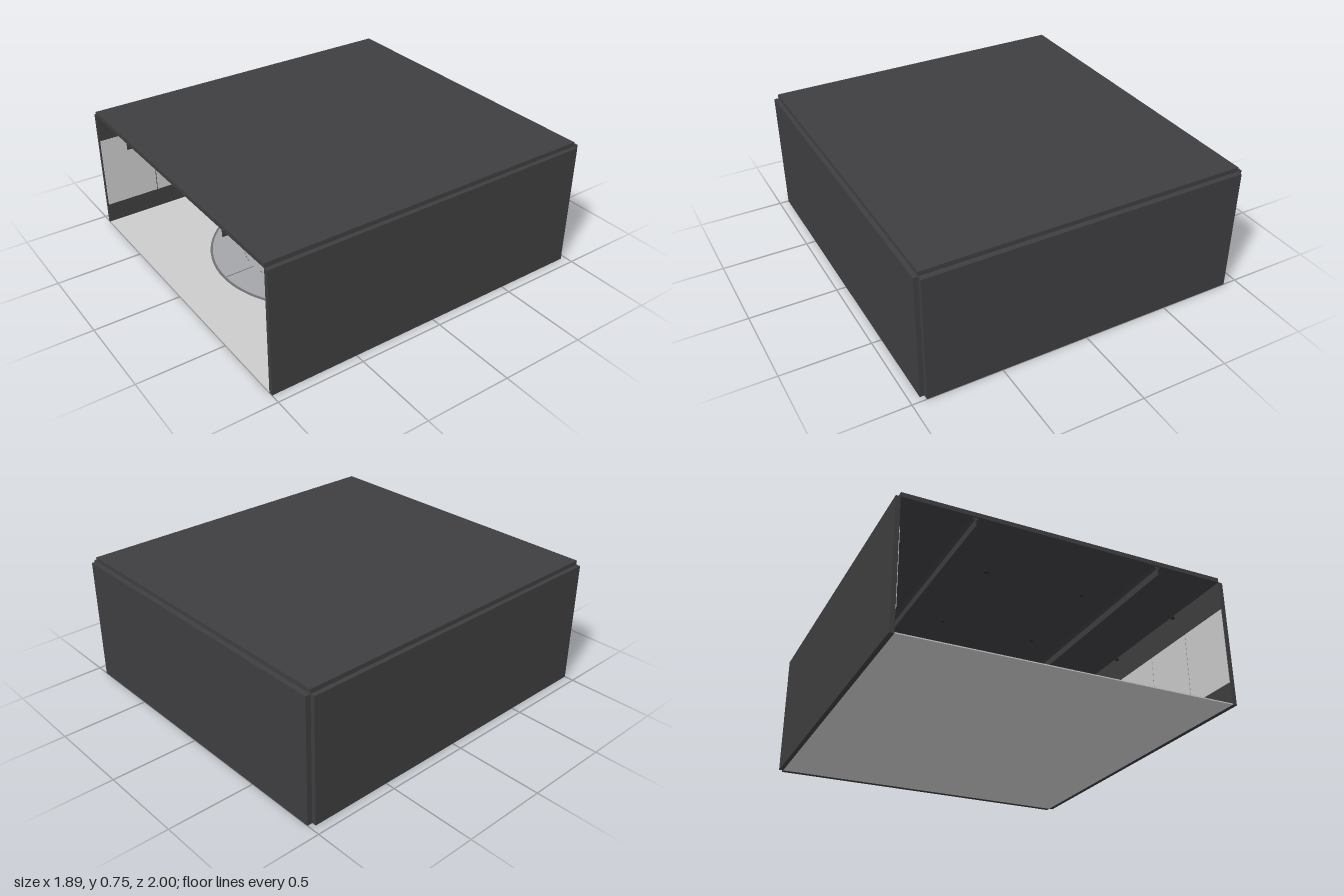
import * as THREE from 'three';

const mat = (color, side = THREE.FrontSide) => {
  const m = new THREE.MeshStandardMaterial({ color });
  m.side = side;
  return m;
};
const DARK = mat(0x3e3e40), BLACK = mat(0x262628), GREY = mat(0xcccccc), DISC = mat(0xa4a5a9);
const STEEL = mat(0x707072), RUBBER = mat(0x2c2c2d), YELLOW = mat(0xb8a030);

function add(parent, name, geo, material, x = 0, y = 0, z = 0) {
  const m = new THREE.Mesh(geo, material);
  m.name = name;
  m.position.set(x, y, z);
  parent.add(m);
  return m;
}
// Box given by its limits on each axis
function box(parent, name, material, x0, x1, y0, y1, z0, z1) {
  return add(parent, name, new THREE.BoxGeometry(x1 - x0, y1 - y0, z1 - z0), material,
    (x0 + x1) / 2, (y0 + y1) / 2, (z0 + z1) / 2);
}
const cyl = (parent, name, material, r0, r1, h, x, y, z, n = 20) =>
  add(parent, name, new THREE.CylinderGeometry(r0, r1, h, n), material, x, y, z);
function group(parent, name, x = 0, y = 0, z = 0) {
  const g = new THREE.Group();
  g.name = name;
  g.position.set(x, y, z);
  parent.add(g);
  return g;
}

// Tyre with its axle along y: rounded tread, side walls and hub
const tyreProfile = [[0.026, -0.022], [0.036, -0.027], [0.043, -0.023], [0.047, -0.013], [0.047, 0.013],
  [0.043, 0.023], [0.036, 0.027], [0.026, 0.022], [0.026, -0.022]].map(p => new THREE.Vector2(...p));
const tyreGeo = new THREE.LatheGeometry(tyreProfile, 28);
const stripeGeo = new THREE.TorusGeometry(0.036, 0.0012, 4, 28).rotateX(Math.PI / 2);
function tyre(parent, x, y, z, upright) {
  const g = group(parent, 'tyre', x, y, z);
  add(g, 'tread', tyreGeo, RUBBER);
  for (const s of [-1, 1]) add(g, 'sidewallStripe', stripeGeo, YELLOW, 0, s * 0.0265, 0);
  cyl(g, 'wheelHub', STEEL, 0.0265, 0.0265, 0.03, 0, 0, 0);
  if (upright) g.rotation.z = Math.PI / 2;
}

// Tyre rack: four posts, paired shelf rails and base bars
function rack(parent, x, upper, lower) {
  const g = group(parent, 'tyreRack', x, 0, -0.85), w = 0.122, d = 0.05, t = 0.003;
  for (const sx of [-w, w]) {
    for (const sz of [-d, d]) box(g, 'rackPost', STEEL, sx - t, sx + t, 0.006, 0.275, sz - t, sz + t);
    for (const y of [0.02, 0.125, 0.215]) box(g, 'rackSideBar', STEEL, sx - t, sx + t, y - t, y + t, -d, d);
  }
  for (const y of [0.045, 0.125, 0.215])
    for (const sz of [-d, d]) box(g, 'rackRail', STEEL, -w, w, y - t, y + t, sz - t, sz + t);
  for (const tx of upper) tyre(g, tx, 0.264, 0, true);
  for (const tx of lower) tyre(g, tx, 0.173, 0, true);
}

export function createModel() {
  const model = new THREE.Group();
  model.name = 'garage';

  // Shell, open at the front
  box(model, 'floor', GREY, -0.92, 0.92, 0, 0.006, -0.97, 1);
  box(model, 'roof', DARK, -0.92, 0.92, 0.727, 0.752, -0.97, 1);
  box(model, 'backWall', DARK, -0.92, 0.92, 0, 0.727, -1, -0.97);
  for (const s of [-1, 1])
    add(model, 'sideWall', new THREE.BoxGeometry(0.025, 0.727, 1.97), DARK, s * 0.9325, 0.3635, 0.015);

  // Light wall panels with narrow gaps, on the back and both sides
  const panels = group(model, 'wallPanels');
  const gap = 0.003, y0 = 0.127, y1 = 0.56;
  const seams = [-0.916, -0.768, -0.461, -0.154, 0.154, 0.461, 0.768, 0.916];
  for (let i = 0; i < seams.length - 1; i++)
    box(panels, 'backPanel', GREY, seams[i] + gap, seams[i + 1] - gap, y0, y1, -0.97, -0.965);
  const step = 1.97 / 6;
  for (const s of [-1, 1])
    for (let i = 0; i < 6; i++)
      add(panels, 'sidePanel', new THREE.BoxGeometry(0.005, y1 - y0, step - 2 * gap), GREY,
        s * 0.9185, (y0 + y1) / 2, -0.97 + (i + 0.5) * step);

  // Back wall trim and long rail
  box(model, 'backCornice', DARK, -0.918, 0.918, 0.668, 0.727, -0.97, -0.95);
  box(model, 'wallRail', BLACK, -0.86, 0.855, 0.476, 0.484, -0.958, -0.95);
  for (const x of [-0.7, 0, 0.7]) box(model, 'railBracket', BLACK, x - 0.003, x + 0.003, 0.477, 0.483, -0.966, -0.955);

  // Tapered ceiling beams running front to back, and ceiling lamps
  const beam = new THREE.Shape([[-0.02, 0.727], [-0.004, 0.715], [-0.003, 0.675], [0.003, 0.675],
    [0.004, 0.715], [0.02, 0.727]].map(p => new THREE.Vector2(...p)));
  const beamGeo = new THREE.ExtrudeGeometry(beam, { depth: 1.94, bevelEnabled: false });
  for (const s of [-1, 1]) add(model, 'ceilingBeam', beamGeo, DARK, s * 0.528, 0, -0.95);
  for (const z of [-0.6, 0, 0.6])
    for (const x of [-0.9, -0.29, 0.29, 0.9]) {
      cyl(model, 'lampStem', BLACK, 0.003, 0.003, 0.02, x, 0.717, z, 8);
      cyl(model, 'ceilingLamp', BLACK, 0.01, 0.012, 0.012, x, 0.702, z, 12);
    }

  // Round turntable set in the floor, with rim, radial marks and dashed ring
  const table = group(model, 'turntable', 0, 0.006, 0.12);
  cyl(table, 'turntableRim', STEEL, 0.605, 0.605, 0.004, 0, 0.002, 0, 72);
  cyl(table, 'turntableDisc', DISC, 0.592, 0.592, 0.003, 0, 0.0035, 0, 72);
  for (let i = 0; i < 4; i++) {
    const a = i * Math.PI / 2;
    const m = add(table, 'radialMark', new THREE.BoxGeometry(0.18, 0.001, 0.006), STEEL,
      0.5 * Math.cos(a), 0.0052, -0.5 * Math.sin(a));
    m.rotation.y = a;
  }
  for (let i = 0; i < 72; i++) {
    if (i % 18 < 2 || i % 18 > 16) continue;
    const a = i * Math.PI / 36;
    const m = add(table, 'ringDash', new THREE.BoxGeometry(0.006, 0.001, 0.018), STEEL,
      0.41 * Math.cos(a), 0.0052, -0.41 * Math.sin(a));
    m.rotation.y = a;
  }

  // Tyre racks
  rack(model, -0.477, [-0.058, 0, 0.058], [-0.087, -0.029, 0.029, 0.087]);
  rack(model, 0.473, [0], [0.066]);

  // Low stand with stacked tyres
  const stand = group(model, 'tyreStand', -0.707, 0, -0.82);
  box(stand, 'standTop', STEEL, -0.06, 0.06, 0.05, 0.056, -0.09, 0.09);
  for (const x of [-0.045, 0.045])
    for (const z of [-0.075, 0.075]) box(stand, 'standLeg', STEEL, x - 0.003, x + 0.003, 0.006, 0.05, z - 0.003, z + 0.003);
  for (const [x, z] of [[-0.028, 0.045], [0.028, -0.045]])
    for (const y of [0.083, 0.137]) tyre(stand, x, y, z, false);

  // Low cabinet against the back wall
  box(model, 'lowCabinet', DARK, -0.91, -0.62, 0.006, 0.118, -0.97, -0.93);

  // Stools with round padded seats
  for (const x of [0.705, 0.81]) {
    const g = group(model, 'stool', x, 0, -0.82);
    cyl(g, 'stoolBase', STEEL, 0.012, 0.036, 0.012, 0, 0.012, 0);
    cyl(g, 'stoolPost', STEEL, 0.005, 0.005, 0.18, 0, 0.105, 0, 12);
    const foot = add(g, 'footRing', new THREE.TorusGeometry(0.028, 0.003, 6, 24), STEEL, 0, 0.08, 0);
    foot.rotation.x = Math.PI / 2;
    box(g, 'footBar', STEEL, -0.028, 0.028, 0.078, 0.082, -0.002, 0.002);
    cyl(g, 'stoolRim', BLACK, 0.04, 0.04, 0.01, 0, 0.21, 0, 24);
    cyl(g, 'stoolSeat', BLACK, 0.03, 0.032, 0.042, 0, 0.213, 0, 24);
  }

  // Bottles and a small floor stand
  const bottle = [[0, 0], [0.013, 0], [0.013, 0.045], [0.005, 0.06], [0.005, 0.072], [0, 0.072]].map(p => new THREE.Vector2(...p));
  for (const x of [0.13, 0.188]) add(model, 'bottle', new THREE.LatheGeometry(bottle, 16), DARK, x, 0.006, -0.88);
  cyl(model, 'floorStandBase', BLACK, 0.008, 0.025, 0.02, 0.018, 0.016, -0.88);
  cyl(model, 'floorStandPost', BLACK, 0.003, 0.003, 0.1, 0.018, 0.07, -0.88, 10);

  return model;
}
